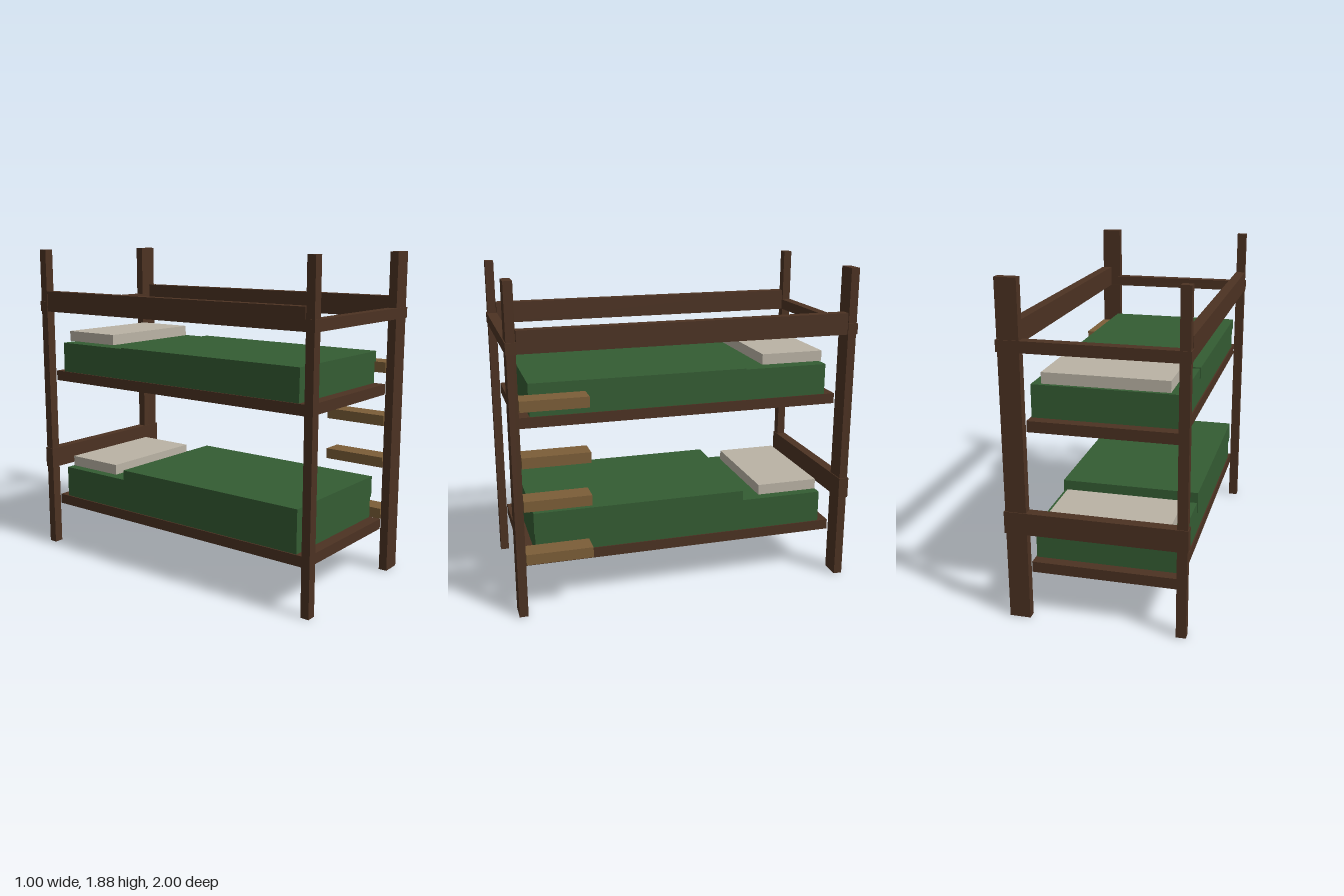
import * as THREE from 'three';

const material = (name, color) => {
  const m = new THREE.MeshStandardMaterial({ color });
  m.name = name;
  return m;
};

export function createModel() {
  const model = new THREE.Group();
  model.name = 'bunkBed';
  const frame = material('dark wood', 0x4c3222);
  const step = material('light wood', 0x7c5e38);
  const cloth = material('green cloth', 0x345c33);
  const linen = material('pale linen', 0xbab3a5);

  // Box given by its limits on each axis
  const box = (name, mat, [x0, x1], [y0, y1], [z0, z1]) => {
    const mesh = new THREE.Mesh(new THREE.BoxGeometry(x1 - x0, y1 - y0, z1 - z0), mat);
    mesh.position.set((x0 + x1) / 2, (y0 + y1) / 2, (z0 + z1) / 2);
    mesh.name = name;
    model.add(mesh);
  };

  // Posts and upper end rails; the left posts are wider to carry the ladder
  for (const [end, z, railZ] of [
    ['front', [0.945, 0.995], [0.94, 1]],
    ['back', [-0.995, -0.945], [-1, -0.94]],
  ]) {
    box(end + 'RightPost', frame, [-0.495, -0.44], [0, 1.88], z);
    box(end + 'LeftPost', frame, [0.375, 0.492], [0, 1.88], z);
    box(end + 'UpperRail', frame, [-0.5, 0.5], [1.503, 1.565], railZ);
  }
  box('backLowerRail', frame, [-0.5, 0.5], [0.503, 0.627], [-1, -0.94]);

  // Guard rails along both sides
  box('rightGuardRail', frame, [-0.498, -0.438], [1.503, 1.627], [-0.938, 0.942]);
  box('leftGuardRail', frame, [0.437, 0.497], [1.503, 1.627], [-0.938, 0.942]);

  // Two bunks: base, mattress, blanket and pillow
  for (const [level, base, top, blanketBottom, blanketTop, pillowBottom] of [
    ['lower', 0.253, 0.503, 0.44, 0.565, 0.503],
    ['upper', 1.065, 1.307, 1.252, 1.314, 1.314],
  ]) {
    box(level + 'Base', frame, [-0.44, 0.374], [base, base + 0.061], [-0.938, 0.942]);
    box(level + 'Mattress', cloth, [-0.432, 0.368], [base + 0.061, top], [-0.875, 0.873]);
    box(level + 'Blanket', cloth, [-0.438, 0.374], [blanketBottom, blanketTop], [-0.375, 0.878]);
    box(level + 'Pillow', linen, [-0.376, 0.309], [pillowBottom, pillowBottom + 0.062], [-0.875, -0.5]);
  }

  // Ladder steps beside the front left post
  for (const y of [0.315, 0.628, 0.878, 1.191]) {
    box('ladderStep', step, [0.372, 0.497], [y, y + 0.061], [0.565, 0.942]);
  }
  return model;
}
